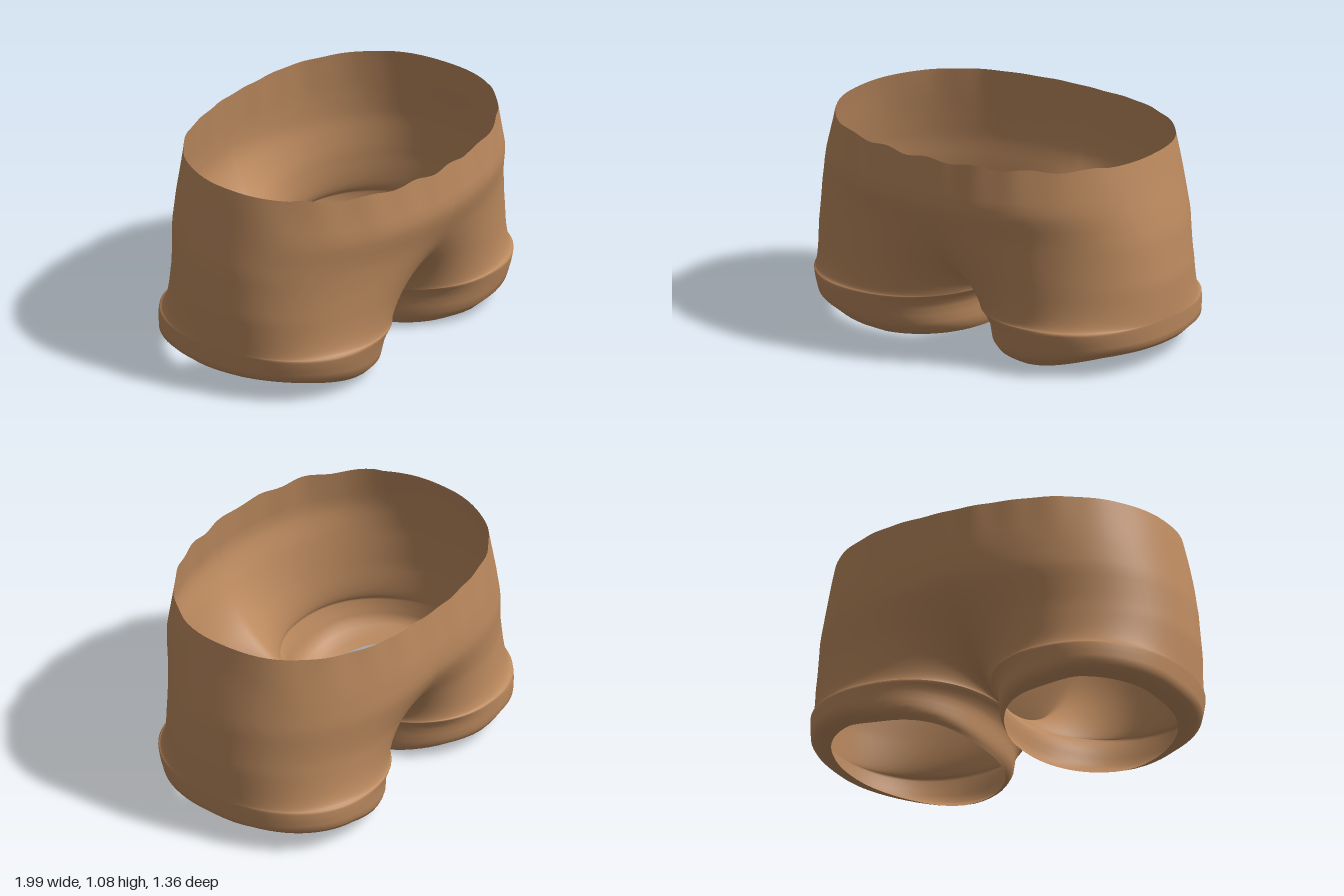
import * as THREE from 'three';
import { mergeVertices } from 'three/addons/utils/BufferGeometryUtils.js';

const CROTCH = 0.25, WAIST = 1.08, COLS = 72;

// Profiles against height: [height, size]
const SIDE = [[0, 0.88], [0.03, 0.95], [0.08, 0.985], [0.25, 0.995], [0.45, 0.995], [0.68, 0.97], [0.8, 0.945], [1.08, 0.88]];
const FRONT = [[0, 0.4], [0.03, 0.46], [0.08, 0.51], [0.25, 0.55], [0.5, 0.6], [0.7, 0.635], [0.85, 0.68], [1.08, 0.66]];
const BACK = [[0, 0.56], [0.03, 0.61], [0.08, 0.63], [0.3, 0.637], [0.5, 0.65], [0.7, 0.685], [0.85, 0.68], [1.08, 0.66]];
const INNER = [[0, 0.08], [0.04, 0.062], [0.17, 0.055], [0.22, 0.03], [0.25, 0]];

function sample(profile, y) {
  let i = 0;
  while (i < profile.length - 2 && y > profile[i + 1][0]) i++;
  const [y0, a] = profile[i], [y1, b] = profile[i + 1];
  return THREE.MathUtils.lerp(a, b, THREE.MathUtils.clamp((y - y0) / (y1 - y0), 0, 1));
}

const bend = (v, n) => Math.sign(v) * Math.pow(Math.abs(v), 2 / n);

// One point: u runs from the front centre, round the outside, to the back centre
function point(u, level, side) {
  const X = sample(SIDE, level), zf = sample(FRONT, level), zb = sample(BACK, level);
  const inner = sample(INNER, level), cz = (zf - zb) / 2;

  // closed ring round one leg
  const h = u < 0.5 ? u : 1 - u;
  const eased = h < 0.25 ? 0.25 * Math.pow(h / 0.25, 1.4) : h;
  const a = 2 * Math.PI * eased;
  const half = (X - inner) / 2;
  const lx = (X + inner) / 2 - half * bend(Math.cos(a), 2.2);
  const lz = cz + (u < 0.5 ? 1 : -1) * (zf + zb) / 2 * bend(Math.sin(a), 2.2);

  // half ring of the torso
  const f = Math.PI * (u - 0.09 * Math.sin(2 * Math.PI * u));
  const n = u < 0.5 ? 2.15 : 2.4;
  const tx = X * bend(Math.max(0, Math.sin(f)), n);
  const tz = bend(Math.cos(f), n) * (u < 0.5 ? zf : zb);

  // the legs merge into the torso above the crotch
  const t = THREE.MathUtils.clamp((level - CROTCH) / 0.55, 0, 1);
  const w = Math.sqrt(1 - (1 - t) ** 2);
  let x = THREE.MathUtils.lerp(lx, tx, w), z = THREE.MathUtils.lerp(lz, tz, w), y = level;

  if (level < CROTCH) {
    // slanted hem, higher at the outside and the back
    const hem = Math.min(0.095, 0.012 + 0.075 * THREE.MathUtils.smoothstep(x, 0.4, 0.92)
      + 0.06 * THREE.MathUtils.smoothstep(-z, 0.1, 0.65));
    y = hem + (CROTCH - hem) * level / CROTCH;
  } else {
    // gathered folds below the waist edge
    const g = THREE.MathUtils.smoothstep(level, 0.8, WAIST);
    const fold = 1 + 0.007 * g * Math.sin(x * 23 + side) * Math.sin(x * 9);
    x *= fold;
    z *= fold;
    if (z > 0.3) y += 0.008 * g * Math.cos(x * side * 24);
  }
  return [x * side, y, z];
}

function shortsGeometry() {
  const levels = [];
  for (let i = 26; i >= 0; i--) levels.push(CROTCH + (WAIST - CROTCH) * (i / 26) ** 1.8);
  levels.push(0.235, 0.22, 0.195, 0.17, 0.125, 0.08, 0.055, 0.03, 0.015, 0);

  const pos = [], index = [];
  for (const side of [1, -1]) {
    const start = pos.length / 3;
    for (const level of levels)
      for (let c = 0; c <= COLS; c++) pos.push(...point(c / COLS, level, side));
    for (let r = 0; r < levels.length - 1; r++)
      for (let c = 0; c < COLS; c++) {
        const a = start + r * (COLS + 1) + c, b = a + 1, d = a + COLS + 1, e = d + 1;
        if (side > 0) index.push(a, d, b, b, d, e);
        else index.push(a, b, d, b, e, d);
      }
  }
  const geo = new THREE.BufferGeometry();
  geo.setAttribute('position', new THREE.Float32BufferAttribute(pos, 3));
  geo.setIndex(index);
  // weld the centre seam and inner leg seams
  const welded = mergeVertices(geo, 1e-4);
  welded.computeVertexNormals();
  return welded;
}

export function createModel() {
  const tan = new THREE.MeshStandardMaterial({ color: 0xbb895e, side: THREE.DoubleSide });
  tan.name = 'tan cloth';
  const shorts = new THREE.Mesh(shortsGeometry(), tan);
  shorts.name = 'shorts';
  const group = new THREE.Group();
  group.name = 'shortTrousers';
  group.add(shorts);
  return group;
}
